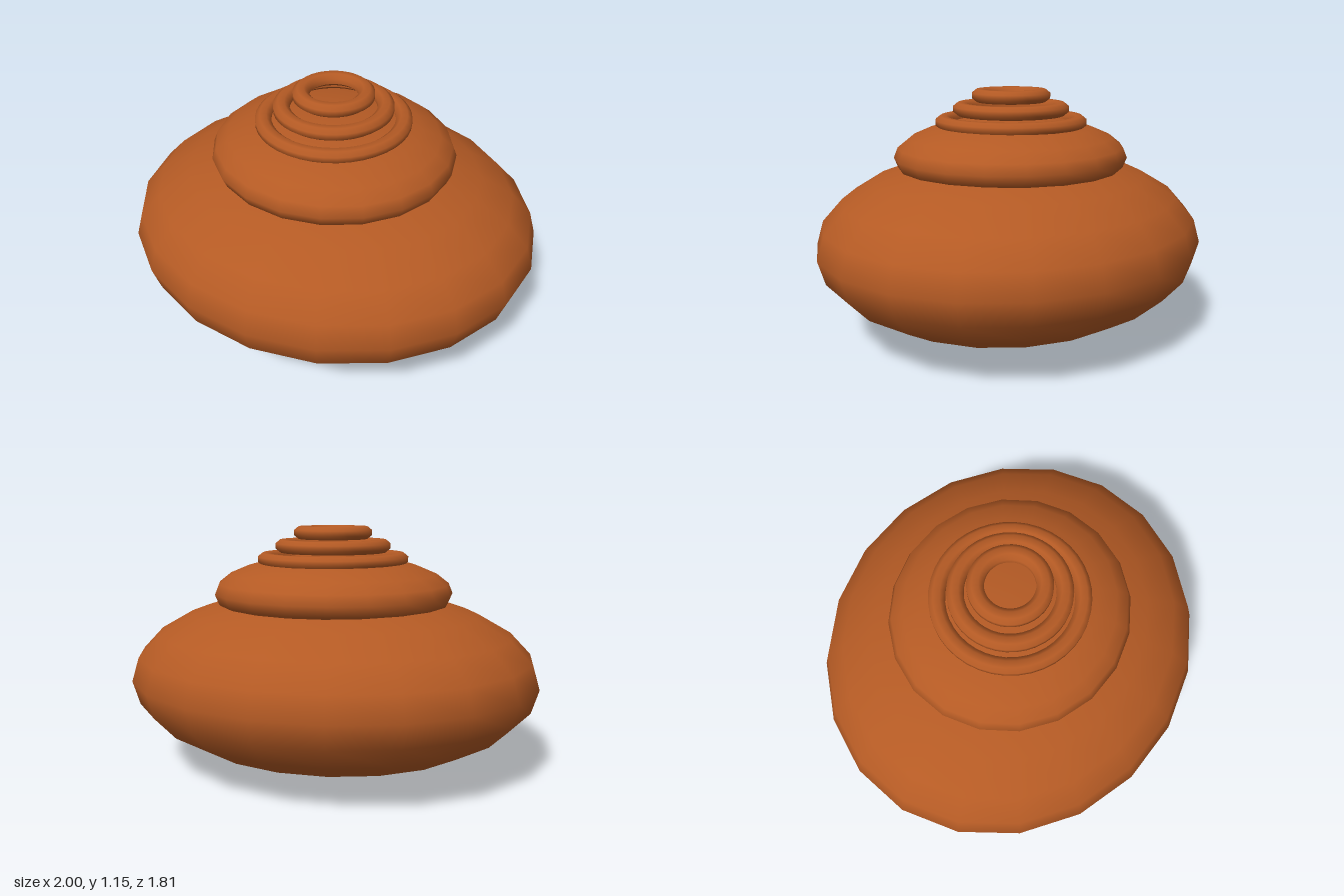
import * as THREE from 'three';

export function createModel() {
  const model = new THREE.Group();
  const brown = new THREE.MeshStandardMaterial({ color: 0xb45a24 });
  brown.name = 'warm brown';

  const add = (name, geometry, y) => {
    const mesh = new THREE.Mesh(geometry, brown);
    mesh.name = name;
    mesh.position.y = y;
    model.add(mesh);
  };

  // Flattened, slightly oval mounds
  const mound = (name, rx, ry, rz, y) =>
    add(name, new THREE.SphereGeometry(1, 20, 12).scale(rx, ry, rz), y);
  mound('lowerMound', 1, 0.43, 0.905, 0.43);
  mound('upperMound', 0.58, 0.185, 0.555, 0.833);

  // Open rings with an eight-sided section, shrinking towards the top
  const ring = (name, radius, y) => {
    const section = [];
    for (let i = 0; i <= 8; i++) {
      const a = (i + 4.5) * Math.PI / 4;
      section.push(new THREE.Vector2(radius + 0.0405 * Math.cos(a), 0.0325 * Math.sin(a)));
    }
    add(name, new THREE.LatheGeometry(section, 40), y);
  };
  ring('lowerRing', 0.325, 0.995);
  ring('middleRing', 0.24, 1.057);
  ring('topRing', 0.15, 1.12);

  return model;
}
